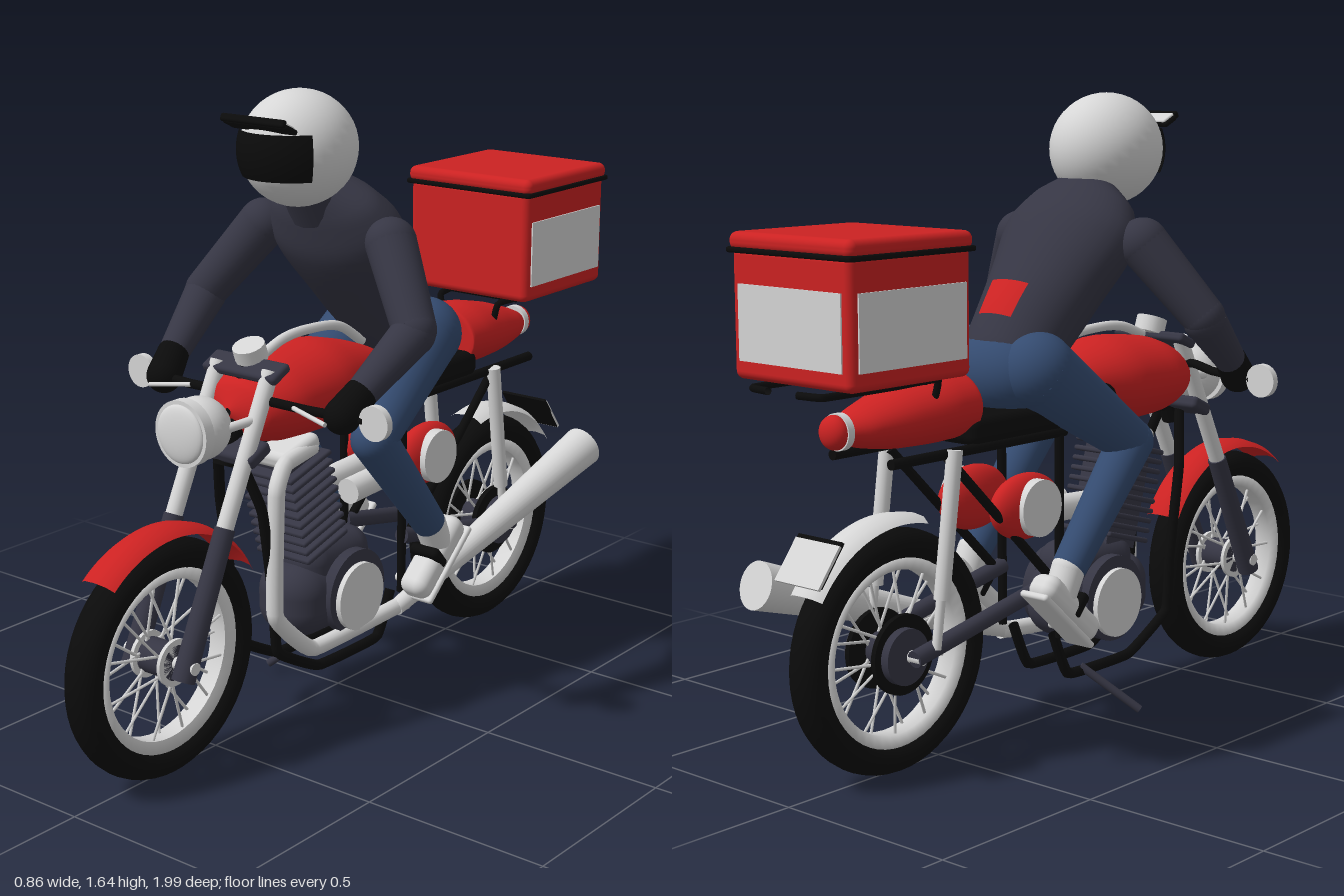
import * as THREE from 'three';
import { RoundedBoxGeometry } from 'three/addons/geometries/RoundedBoxGeometry.js';

const mat = (name, color) => Object.assign(new THREE.MeshStandardMaterial({ color, side: THREE.DoubleSide }), { name });
const RED = mat('red', 0xcc2222), WHITE = mat('light grey', 0xd6d6d6), NAVY = mat('dark slate', 0x363644);
const BLACK = mat('black', 0x0b0b0b), BLUE = mat('denim blue', 0x344b70);
const V = (p) => new THREE.Vector3(...p);
const rad = THREE.MathUtils.degToRad;

export function createModel() {
  const root = new THREE.Group();
  root.name = 'courierMotorcycle';

  const add = (name, geo, m, pos = [0, 0, 0], rot = [0, 0, 0], scale = [1, 1, 1]) => {
    const o = new THREE.Mesh(geo, m);
    o.name = name;
    o.position.set(...pos);
    o.rotation.set(...rot);
    o.scale.set(...scale);
    root.add(o);
    return o;
  };
  // Straight bar between two points, optionally tapered
  const rod = (name, m, a, b, ra, rb = ra, sides = 16) => {
    const A = V(a), d = V(b).sub(A);
    const o = add(name, new THREE.CylinderGeometry(rb, ra, d.length(), sides), m);
    o.position.copy(A).addScaledVector(d, 0.5);
    o.quaternion.setFromUnitVectors(new THREE.Vector3(0, 1, 0), d.normalize());
    return o;
  };
  const ball = (name, m, pos, rx, ry = rx, rz = rx) =>
    add(name, new THREE.SphereGeometry(1, 32, 22), m, pos, [0, 0, 0], [rx, ry, rz]);
  // Bent pipe; low tension keeps the runs straight
  const tube = (name, m, pts, r, tension = 0.15) =>
    add(name, new THREE.TubeGeometry(new THREE.CatmullRomCurve3(pts.map(V), false, 'catmullrom', tension), pts.length * 10, r, 12), m);
  // Disc or drum with its axis along x
  const drum = (name, m, x, y, z, r, w) =>
    add(name, new THREE.CylinderGeometry(r, r, w, 36), m, [x, y, z], [0, 0, Math.PI / 2]);
  // Profile of [radius, x] turned around the x axis; angle runs from +z up to +y
  const spun = (name, m, prof, pos, from = 0, to = 360) => {
    const g = new THREE.LatheGeometry(prof.map((p) => new THREE.Vector2(...p)), 48, rad(from), rad(to - from));
    return add(name, g.rotateZ(Math.PI / 2), m, pos);
  };
  // Elliptical skin through sections [y, z, halfWidth, halfDepth]; depth lies along (dy, dz)
  const loft = (name, m, secs, dy, dz, { t0 = 0, t1 = 1, a0 = 0, a1 = Math.PI * 2, grow = 1 } = {}) => {
    const centre = new THREE.CatmullRomCurve3(secs.map((s) => V([0, s[0], s[1]])));
    const size = new THREE.CatmullRomCurve3(secs.map((s) => V([s[2], s[3], 0])));
    const rows = 32, cols = 32, full = a1 - a0 > 6.28, n = full ? cols : cols + 1, pos = [], idx = [];
    for (let i = 0; i <= rows; i++) {
      const t = t0 + ((t1 - t0) * i) / rows, c = centre.getPoint(t), s = size.getPoint(t);
      for (let j = 0; j < n; j++) {
        const a = a0 + ((a1 - a0) * j) / cols, d = s.y * grow * Math.sin(a);
        pos.push(s.x * grow * Math.cos(a), c.y + dy * d, c.z + dz * d);
        if (i < rows && j < cols) {
          const p = i * n + j, q = i * n + ((j + 1) % n);
          idx.push(p, q, p + n, q, q + n, p + n);
        }
      }
    }
    const g = new THREE.BufferGeometry();
    g.setAttribute('position', new THREE.Float32BufferAttribute(pos, 3));
    g.setIndex(idx);
    g.computeVertexNormals();
    return add(name, g, m);
  };
  const both = (fn) => [1, -1].forEach(fn);

  // Wheels
  for (const [end, z] of [['front', 0.69], ['rear', -0.665]]) {
    add(end + 'Tyre', new THREE.TorusGeometry(0.265, 0.04, 18, 56).rotateY(Math.PI / 2), BLACK, [0, 0.305, z], [0, 0, 0], [1.3, 1, 1]);
    spun(end + 'Rim', WHITE, [[0.205, -0.025], [0.24, -0.036], [0.24, 0.036], [0.205, 0.025], [0.205, -0.025]], [0, 0.305, z]);
    for (let i = 0; i < 24; i++) {
      const a = (i * Math.PI) / 12, b = a + (i % 4 < 2 ? 0.4 : -0.4), x = i % 2 ? 0.035 : -0.035;
      rod(end + 'Spoke', WHITE, [x, 0.305 + 0.04 * Math.sin(b), z + 0.04 * Math.cos(b)],
        [x * 0.4, 0.305 + 0.21 * Math.sin(a), z + 0.21 * Math.cos(a)], 0.004, 0.004, 6);
    }
    drum(end + 'Hub', NAVY, 0, 0.305, z, 0.045, 0.1);
    drum(end + 'Axle', WHITE, 0, 0.305, z, 0.016, 0.23);
  }
  both((s) => {
    drum('frontHubRing', WHITE, s * 0.045, 0.305, 0.69, 0.06, 0.01);
    drum('rearSprocket', BLACK, s * 0.045, 0.305, -0.665, 0.1, 0.014);
    drum('rearHubCover', NAVY, s * 0.06, 0.305, -0.675, 0.07, 0.03);
  });

  // Mudguards, number plate
  const guard = [[0.322, -0.055], [0.337, -0.035], [0.342, 0], [0.337, 0.035], [0.322, 0.055]];
  spun('frontMudguard', RED, guard, [0, 0.305, 0.69], 50, 151);
  spun('rearMudguard', WHITE, guard, [0, 0.305, -0.665], 75, 146);
  add('numberPlate', new THREE.BoxGeometry(0.15, 0.115, 0.008), WHITE, [0, 0.57, -0.925], [rad(37), 0, 0]);
  add('plateBacking', new THREE.BoxGeometry(0.15, 0.12, 0.008), BLACK, [0, 0.575, -0.917], [rad(37), 0, 0]);

  // Fork, mirrors, controls
  both((s) => {
    rod('forkLower', NAVY, [s * 0.085, 0.27, 0.705], [s * 0.085, 0.62, 0.545], 0.03, 0.026);
    rod('forkUpper', WHITE, [s * 0.085, 0.6, 0.555], [s * 0.085, 0.98, 0.37], 0.022);
    tube('handlebar', BLACK, [[0, 0.91, 0.39], [s * 0.12, 0.91, 0.39], [s * 0.2, 0.9, 0.365], [s * 0.35, 0.895, 0.335]], 0.012);
    rod('barEndMirror', WHITE, [s * 0.385, 0.895, 0.345], [s * 0.385, 0.895, 0.325], 0.044, 0.044, 28);
    rod('brakeLever', WHITE, [s * 0.17, 0.905, 0.385], [s * 0.29, 0.89, 0.41], 0.006);
    rod('headlightBracket', WHITE, [s * 0.085, 0.87, 0.43], [s * 0.06, 0.86, 0.52], 0.012);
  });
  add('lowerClamp', new RoundedBoxGeometry(0.23, 0.035, 0.08, 3, 0.012), NAVY, [0, 0.785, 0.44], [rad(25), 0, 0]);
  add('upperClamp', new RoundedBoxGeometry(0.24, 0.025, 0.07, 3, 0.01), NAVY, [0, 0.975, 0.365], [rad(25), 0, 0]);
  rod('steeringHead', BLACK, [0, 0.74, 0.45], [0, 0.98, 0.35], 0.03);
  rod('gauge', WHITE, [0, 0.99, 0.34], [0, 1.03, 0.355], 0.042);

  // Headlight
  ball('headlightBowl', WHITE, [0, 0.858, 0.54], 0.08);
  rod('headlightRing', WHITE, [0, 0.858, 0.575], [0, 0.858, 0.605], 0.084, 0.084, 36);
  ball('headlightLens', WHITE, [0, 0.858, 0.605], 0.074, 0.074, 0.018);

  // Tank with trim strip and knee pads
  loft('tank', RED, [[0.89, -0.14, 0.01, 0.01], [0.89, -0.12, 0.07, 0.04], [0.89, 0, 0.115, 0.085], [0.885, 0.15, 0.15, 0.118],
    [0.88, 0.3, 0.145, 0.108], [0.875, 0.4, 0.1, 0.075], [0.875, 0.435, 0.01, 0.01]], 1, 0);
  tube('tankTrim', WHITE, [[0, 0.99, 0.31], [0, 1.02, 0.22], [0, 1.025, 0.12], [0, 1.01, 0], [0, 0.95, -0.1]], 0.013, 0.5);
  both((s) => ball('kneePad', BLACK, [s * 0.105, 0.865, 0.02], 0.025, 0.04, 0.05));

  // Seat, tail and tail light
  add('seat', new RoundedBoxGeometry(0.23, 0.07, 0.36, 4, 0.025), BLACK, [0, 0.83, -0.3]);
  loft('tailCowl', RED, [[0.867, -0.83, 0.03, 0.025], [0.87, -0.76, 0.07, 0.05], [0.88, -0.65, 0.1, 0.075], [0.892, -0.52, 0.12, 0.088],
    [0.893, -0.45, 0.118, 0.086], [0.893, -0.448, 0.005, 0.005]], 1, 0);
  rod('tailLightRing', WHITE, [0, 0.867, -0.81], [0, 0.867, -0.83], 0.045, 0.045, 28);
  ball('tailLight', RED, [0, 0.867, -0.835], 0.042, 0.042, 0.03);

  // Frame, swingarm, shocks and pegs
  both((s) => {
    const x = s * 0.07, w = s * 0.1;
    tube('cradle', BLACK, [[s * 0.03, 0.78, 0.44], [x, 0.62, 0.39], [x, 0.37, 0.35], [x, 0.22, 0.335], [x, 0.13, 0.17], [x, 0.13, -0.08], [x, 0.25, -0.14]], 0.014);
    rod('seatRail', BLACK, [w, 0.79, -0.13], [w, 0.79, -0.75], 0.013);
    rod('seatPost', BLACK, [w, 0.79, -0.15], [w, 0.25, -0.15], 0.012);
    rod('rearStay', BLACK, [w, 0.78, -0.56], [w, 0.42, -0.19], 0.012);
    rod('swingarm', NAVY, [w, 0.41, -0.15], [w, 0.305, -0.68], 0.022);
    rod('shock', WHITE, [s * 0.115, 0.8, -0.55], [s * 0.115, 0.44, -0.6], 0.02);
    rod('shockRod', WHITE, [s * 0.115, 0.46, -0.6], [s * 0.115, 0.32, -0.62], 0.012);
    rod('footPeg', WHITE, [s * 0.08, 0.285, -0.16], [s * 0.2, 0.285, -0.16], 0.012);
  });
  rod('backbone', BLACK, [0, 0.79, 0.4], [0, 0.79, -0.15], 0.025);
  rod('kickstand', NAVY, [-0.07, 0.14, -0.03], [-0.2, 0.025, 0.06], 0.011);

  // Engine
  add('crankcase', new RoundedBoxGeometry(0.2, 0.2, 0.36, 5, 0.08), NAVY, [0, 0.31, 0.08]);
  add('gearbox', new RoundedBoxGeometry(0.17, 0.18, 0.26, 5, 0.06), NAVY, [0, 0.375, 0.07]);
  both((s) => {
    drum('crankCover', NAVY, s * 0.1, 0.315, 0.06, 0.115, 0.03);
    drum('coverPlate', WHITE, s * 0.115, 0.305, 0.06, 0.092, 0.03);
  });
  const tilt = [rad(16), 0, 0];
  add('cylinder', new THREE.BoxGeometry(0.13, 0.3, 0.12), NAVY, [0, 0.58, 0.18], tilt);
  for (let i = 0; i < 10; i++)
    add('coolingFin', new RoundedBoxGeometry(0.18, 0.014, 0.17, 2, 0.006), NAVY, [0, 0.46 + i * 0.026, 0.15 + i * 0.0075], tilt);
  add('cylinderHead', new RoundedBoxGeometry(0.14, 0.05, 0.14, 3, 0.02), WHITE, [0, 0.73, 0.22], tilt);
  both((s) => rod('carburettor', WHITE, [s * 0.05, 0.57, 0.02], [s * 0.05, 0.58, -0.17], 0.035));

  // Side covers
  both((s) => {
    ball('sideCover', RED, [s * 0.09, 0.615, -0.27], 0.05, 0.085, 0.122);
    drum('sideCoverDisc', WHITE, s * 0.13, 0.615, -0.265, 0.073, 0.03);
  });

  // Exhaust on the left
  tube('exhaustPipe', WHITE, [[0.05, 0.73, 0.17], [0.07, 0.72, 0.3], [0.08, 0.66, 0.345], [0.085, 0.33, 0.36], [0.1, 0.205, 0.23], [0.12, 0.225, -0.14]], 0.022);
  rod('muffler', WHITE, [0.12, 0.22, -0.1], [0.18, 0.49, -0.93], 0.022, 0.06, 28);

  // Delivery box and rack
  add('boxBody', new RoundedBoxGeometry(0.4, 0.31, 0.39, 4, 0.02), RED, [0, 1.145, -0.77]);
  add('boxLid', new RoundedBoxGeometry(0.415, 0.045, 0.4, 4, 0.02), RED, [0, 1.312, -0.77]);
  add('boxSeal', new RoundedBoxGeometry(0.42, 0.014, 0.405, 3, 0.006), BLACK, [0, 1.292, -0.77]);
  both((s) => add('boxSidePanel', new THREE.BoxGeometry(0.006, 0.18, 0.345), WHITE, [s * 0.201, 1.125, -0.77]));
  add('boxRearPanel', new THREE.BoxGeometry(0.345, 0.18, 0.006), WHITE, [0, 1.125, -0.966]);
  both((s) => tube('rack', BLACK, [[s * 0.08, 0.9, -0.59], [s * 0.1, 0.975, -0.59], [s * 0.12, 0.978, -0.75], [s * 0.12, 0.978, -0.975], [s * 0.05, 0.978, -0.99]], 0.009));
  for (const z of [-0.65, -0.85]) rod('rackBar', BLACK, [-0.12, 0.978, z], [0.12, 0.978, z], 0.008);

  // Rider: torso and back patch
  const torso = [[0.93, -0.285, 0.02, 0.02], [0.96, -0.255, 0.125, 0.1], [1.05, -0.175, 0.14, 0.12], [1.15, -0.09, 0.165, 0.125],
    [1.27, 0.005, 0.2, 0.122], [1.35, 0.06, 0.165, 0.092], [1.41, 0.1, 0.07, 0.06]];
  loft('jacket', NAVY, torso, 0.62, -0.78);
  loft('backPatch', RED, torso, 0.62, -0.78, { t0: 0.29, t1: 0.42, a0: rad(67), a1: rad(113), grow: 1.03 });
  ball('hips', BLUE, [0, 0.95, -0.255], 0.15, 0.11, 0.11);
  rod('neck', NAVY, [0, 1.33, 0.07], [0, 1.42, 0.12], 0.08);

  // Arms, legs and boots
  both((s) => {
    const P = (x, y, z) => [s * x, y, z];
    const limb = (name, m, a, b, ra, rb) => { ball(name + 'Joint', m, a, ra); rod(name, m, a, b, ra, rb, 24); ball(name + 'End', m, b, rb); };
    limb('upperArm', NAVY, P(0.21, 1.265, 0.05), P(0.345, 1.08, 0.13), 0.066, 0.056);
    limb('forearm', NAVY, P(0.345, 1.07, 0.135), P(0.31, 0.945, 0.3), 0.056, 0.04);
    limb('glove', BLACK, P(0.31, 0.945, 0.3), P(0.295, 0.9, 0.35), 0.042, 0.046);
    limb('thigh', BLUE, P(0.105, 0.96, -0.24), P(0.165, 0.745, 0.06), 0.098, 0.06);
    limb('shin', BLUE, P(0.165, 0.74, 0.055), P(0.165, 0.46, -0.18), 0.06, 0.046);
    const pitch = [rad(42), 0, 0];
    limb('ankle', WHITE, P(0.165, 0.45, -0.19), P(0.165, 0.39, -0.22), 0.044, 0.042);
    add('boot', new RoundedBoxGeometry(0.086, 0.072, 0.25, 4, 0.03), WHITE, P(0.165, 0.35, -0.205), pitch);
    add('bootStrap', new RoundedBoxGeometry(0.092, 0.07, 0.03, 3, 0.012), BLACK, P(0.165, 0.358, -0.185), pitch);
    add('bootSole', new RoundedBoxGeometry(0.09, 0.018, 0.25, 3, 0.008), WHITE, P(0.165, 0.325, -0.232), pitch);
  });

  // Helmet with visor and peak
  ball('helmet', WHITE, [0, 1.497, 0.155], 0.143, 0.147, 0.16);
  add('visor', new THREE.SphereGeometry(1, 32, 14, rad(90 - 56), rad(112), rad(70), rad(45)), BLACK,
    [0, 1.497, 0.155], [0, 0, 0], [0.149, 0.153, 0.167]);
  add('peak', new RoundedBoxGeometry(0.19, 0.012, 0.05, 3, 0.005), WHITE, [0, 1.575, 0.305], [rad(-25), 0, 0]);
  add('peakRim', new RoundedBoxGeometry(0.205, 0.02, 0.014, 3, 0.006), BLACK, [0, 1.584, 0.328], [rad(-25), 0, 0]);
  add('peakBase', new RoundedBoxGeometry(0.205, 0.014, 0.05, 3, 0.006), BLACK, [0, 1.567, 0.303], [rad(-25), 0, 0]);
  return root;
}
